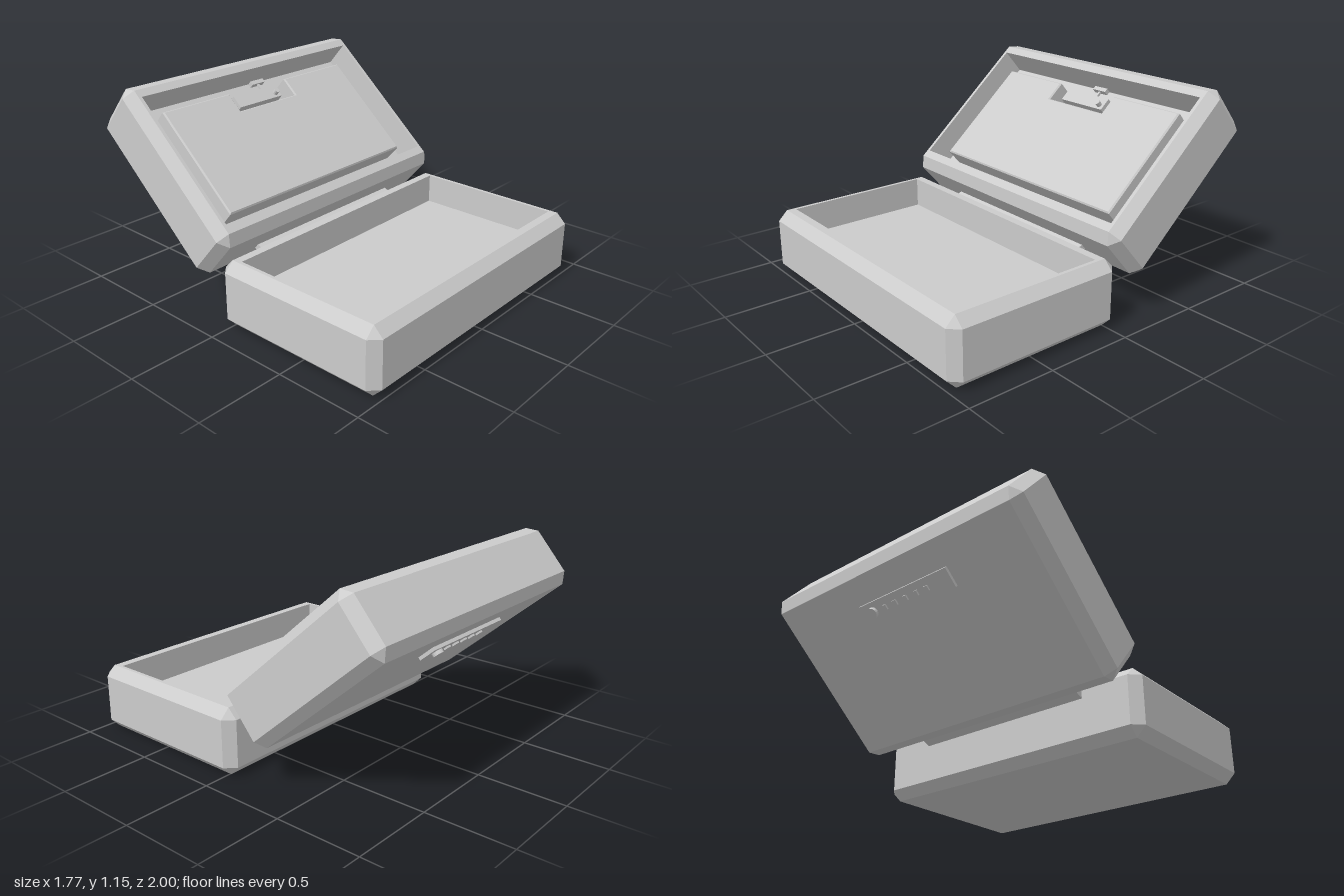
import * as THREE from 'three';

const mat = new THREE.MeshStandardMaterial({ color: 0xcccccc, flatShading: true });

function add(parent, name, geo) {
  const m = new THREE.Mesh(geo, mat);
  m.name = name;
  parent.add(m);
  return m;
}

// Box given by its extents: x, height n, and distance u towards the back
function block(parent, name, [x0, x1], [n0, n1], [u0, u1]) {
  const m = add(parent, name, new THREE.BoxGeometry(x1 - x0, n1 - n0, u1 - u0));
  m.position.set((x0 + x1) / 2, (n0 + n1) / 2, -(u0 + u1) / 2);
  return m;
}

// Eight-point loop with chamfered corners; chamfer 0 gives a plain rectangle
function loop(w, d, c, y) {
  return [
    [w, d - c], [w - c, d], [-w + c, d], [-w, d - c],
    [-w, -d + c], [-w + c, -d], [w - c, -d], [w, -d + c],
  ].map(([x, z]) => new THREE.Vector3(x, y, z));
}

// Open tray with chamfered edges and a rectangular cavity, centred on the origin
function trayGeometry() {
  const w = 0.885, d = 0.53, h = 0.19, c = 0.055;
  const loops = [
    loop(0, 0, 0, -h),
    loop(w - c, d - c, 0, -h),
    loop(w, d, c, -h + c),
    loop(w, d, c, h - c),
    loop(w - c, d - c, 0, h),
    loop(0.81, 0.426, 0, h),
    loop(0.81, 0.426, 0, 0.015),
    loop(0, 0, 0, 0.015),
  ];
  const pts = [];
  const tri = (a, b, e) => {
    if (new THREE.Triangle(a, b, e).getArea() > 1e-7) pts.push(a, b, e);
  };
  for (let i = 0; i < loops.length - 1; i++) {
    for (let j = 0; j < 8; j++) {
      const k = (j + 1) % 8;
      tri(loops[i][j], loops[i + 1][j], loops[i + 1][k]);
      tri(loops[i][j], loops[i + 1][k], loops[i][k]);
    }
  }
  const geo = new THREE.BufferGeometry().setFromPoints(pts);
  geo.computeVertexNormals();
  return geo;
}

// Raised lining panel with a notch for the lock
function panelGeometry() {
  const shape = new THREE.Shape([
    [-0.71, -0.362], [0.71, -0.362], [0.71, 0.332], [0.217, 0.332],
    [0.217, 0.205], [-0.23, 0.205], [-0.23, 0.332], [-0.71, 0.332],
  ].map(([x, y]) => new THREE.Vector2(x, y)));
  const b = 0.008;
  const geo = new THREE.ExtrudeGeometry(shape, {
    depth: 0.117, bevelEnabled: true, bevelSize: b, bevelThickness: b, bevelOffset: -b, bevelSegments: 1,
  });
  return geo.rotateX(-Math.PI / 2).translate(0, 0.015, 0);
}

export function createModel() {
  const model = new THREE.Group();
  model.name = 'openCase';

  // Lower tray
  add(model, 'base', trayGeometry()).position.set(0, 0.19, 0.47);

  // Hinge strip
  const hinge = add(model, 'hinge', new THREE.BoxGeometry(1.1, 0.036, 0.16));
  hinge.position.set(0, 0.308, -0.105);
  hinge.rotation.x = THREE.MathUtils.degToRad(22);

  // Lid, tilted open
  const lid = new THREE.Group();
  lid.name = 'lid';
  lid.position.set(0, 0.69, -0.5075);
  lid.rotation.x = THREE.MathUtils.degToRad(41);
  model.add(lid);
  add(lid, 'lidShell', trayGeometry());
  add(lid, 'liningPanel', panelGeometry());

  // Lock inside the notch
  block(lid, 'lockBody', [-0.18, 0.157], [0.01, 0.1], [0.245, 0.328]);
  block(lid, 'boltStem', [0.045, 0.057], [0.083, 0.097], [0.32, 0.375]);
  block(lid, 'bolt', [0, 0.1], [0.075, 0.105], [0.366, 0.392]);
  const knob = add(lid, 'lockKnob', new THREE.CylinderGeometry(0.016, 0.016, 0.035, 12));
  knob.position.set(0.123, 0.112, -0.274);

  // Keypad on the outside of the lid
  block(lid, 'keypadPlate', [-0.34, 0.29], [-0.208, -0.185], [0.215, 0.325]);
  const dial = add(lid, 'keypadDial', new THREE.CylinderGeometry(0.03, 0.03, 0.025, 16));
  dial.position.set(0.21, -0.215, -0.27);
  for (let i = 0; i < 5; i++) {
    const x = 0.12 - i * 0.075;
    block(lid, 'keypadButton', [x - 0.012, x + 0.012], [-0.218, -0.2], [0.255, 0.285]);
  }
  return model;
}
